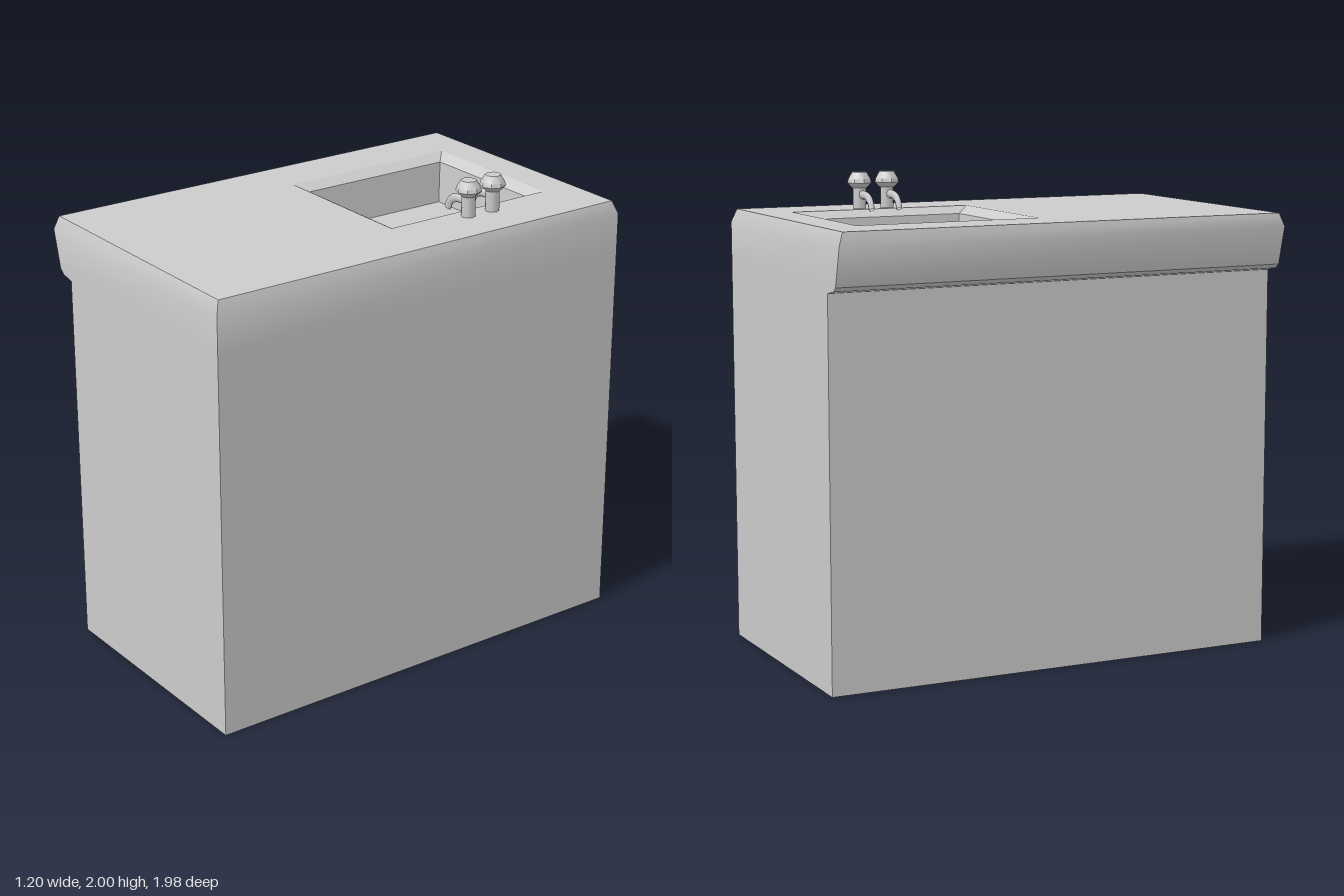
import * as THREE from 'three';
import { toCreasedNormals } from 'three/addons/utils/BufferGeometryUtils.js';

const material = new THREE.MeshStandardMaterial({ color: 0xcccccc, side: THREE.DoubleSide });

function addMesh(parent, name, geometry) {
  const mesh = new THREE.Mesh(geometry, material);
  mesh.name = name;
  parent.add(mesh);
  return mesh;
}

// Skin over rectangular rings [x0, x1, z0, z1, y], optionally closed at the last ring
function loft(rings, closed = false) {
  const corners = rings.map(([x0, x1, z0, z1, y]) => [[x0, y, z1], [x1, y, z1], [x1, y, z0], [x0, y, z0]]);
  const positions = [];
  const quad = (a, b, c, d) => positions.push(...a, ...b, ...c, ...a, ...c, ...d);
  for (let r = 0; r < corners.length - 1; r++) {
    for (let i = 0; i < 4; i++) {
      const j = (i + 1) % 4;
      quad(corners[r][i], corners[r][j], corners[r + 1][j], corners[r + 1][i]);
    }
  }
  if (closed) quad(...corners[corners.length - 1]);
  const geometry = new THREE.BufferGeometry();
  geometry.setAttribute('position', new THREE.Float32BufferAttribute(positions, 3));
  return toCreasedNormals(geometry, 0.6);
}

// Post with faceted knob and a spout curving down towards the basin
function createTap() {
  const tap = new THREE.Group();
  const post = addMesh(tap, 'post', new THREE.CylinderGeometry(0.029, 0.029, 0.1, 8));
  post.position.y = 0.05;

  const profile = [[0, 0.085], [0.033, 0.087], [0.054, 0.108], [0.05, 0.125], [0.033, 0.153], [0, 0.155]]
    .map(([r, y]) => new THREE.Vector2(r, y));
  addMesh(tap, 'knob', toCreasedNormals(new THREE.LatheGeometry(profile, 8).toNonIndexed(), 0.7));

  const path = new THREE.CatmullRomCurve3([
    new THREE.Vector3(-0.01, 0.058, 0),
    new THREE.Vector3(-0.08, 0.056, 0),
    new THREE.Vector3(-0.115, 0.037, 0),
    new THREE.Vector3(-0.132, 0.003, 0),
  ]);
  const spout = addMesh(tap, 'spout', new THREE.TubeGeometry(path, 10, 0.018, 8));
  spout.scale.z = 0.65;
  return tap;
}

export function createModel() {
  const model = new THREE.Group();
  model.name = 'sinkCounter';

  // Cabinet shell, open underneath
  addMesh(model, 'cabinet', loft([
    [-0.48, 0.6, -0.99, 0.99, 0],
    [-0.48, 0.6, -0.99, 0.99, 1.6],
  ]));

  // Worktop with overhanging lip, bevelled edge and basin opening
  const opening = [-0.364, 0.322, -0.82, -0.026, 1.845];
  addMesh(model, 'worktop', loft([
    [-0.48, 0.6, -0.99, 0.99, 1.6],
    [-0.54, 0.6, -0.99, 0.99, 1.612],
    [-0.562, 0.6, -0.99, 0.99, 1.63],
    [-0.604, 0.6, -0.99, 0.99, 1.79],
    [-0.59, 0.58, -0.97, 0.97, 1.845],
    opening,
  ]));

  // Basin with sloping rim
  addMesh(model, 'basin', loft([
    opening,
    [-0.317, 0.28, -0.775, -0.08, 1.815],
    [-0.302, 0.265, -0.76, -0.094, 1.64],
  ], true));

  // Pair of taps
  for (const z of [-0.495, -0.37]) {
    const tap = createTap();
    tap.name = z < -0.4 ? 'backTap' : 'frontTap';
    tap.position.set(0.382, 1.845, z);
    model.add(tap);
  }
  return model;
}
